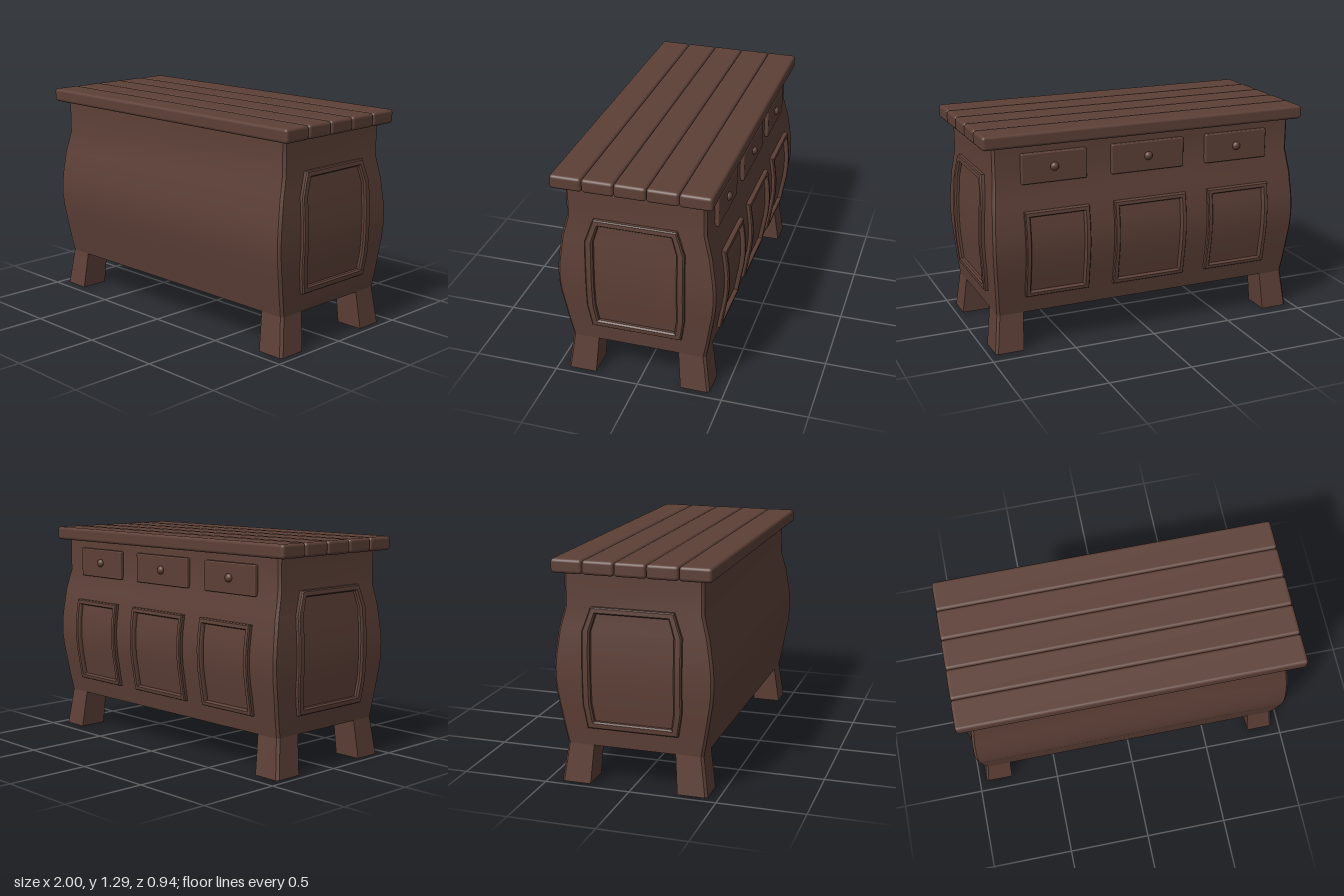
import * as THREE from 'three';
import { toCreasedNormals } from 'three/addons/utils/BufferGeometryUtils.js';
import { RoundedBoxGeometry } from 'three/addons/geometries/RoundedBoxGeometry.js';

// Height and outward swelling of the cabinet walls
const PROFILE = [[0.225, 0], [0.34, 0.022], [0.454, 0.041], [0.53, 0.054], [0.607, 0.061], [0.675, 0.061],
  [0.744, 0.055], [0.887, 0.034], [1.017, 0], [1.215, 0]];
const HALF_X = 0.932, HALF_Z = 0.397, MID_Z = 0.011, SIDE_SWELL = 0.45;

function swell(y) {
  for (let i = 1; i < PROFILE.length; i++) {
    const [y0, s0] = PROFILE[i - 1], [y1, s1] = PROFILE[i];
    if (y <= y1) return s0 + (s1 - s0) * Math.max(0, (y - y0) / (y1 - y0));
  }
  return 0;
}

// Skin a stack of equal-length rings, with optional end caps
function loft(rings, caps = false) {
  const n = rings[0].length, index = [];
  rings.slice(1).forEach((_, r) => {
    for (let i = 0; i < n; i++) {
      const j = (i + 1) % n, a = r * n + i, b = r * n + j;
      index.push(a, b, b + n, a, b + n, a + n);
    }
  });
  if (caps) {
    const top = (rings.length - 1) * n;
    for (let i = 1; i < n - 1; i++) index.push(0, i + 1, i, top, top + i, top + i + 1);
  }
  const g = new THREE.BufferGeometry();
  g.setAttribute('position', new THREE.Float32BufferAttribute(rings.flat(2), 3));
  g.setIndex(index);
  return toCreasedNormals(g, 0.5);
}

// Raised border: rows are [half width, y] from bottom to top; place(u, y, h) puts points on a wall
function frameGeometry(outer, inner, place) {
  const between = (t) => outer.map(([w, y], i) => [w + (inner[i][0] - w) * t, y + (inner[i][1] - y) * t]);
  const ring = (t, h) => {
    const rows = between(t);
    return [...rows.map(([w, y]) => place(w, y, h)), ...rows.reverse().map(([w, y]) => place(-w, y, h))];
  };
  return loft([ring(0, -0.01), ring(0, 0.018), ring(0.15, 0.025), ring(0.75, 0.025), ring(0.95, 0.015), ring(1, -0.01)]);
}

export function createModel() {
  const model = new THREE.Group();
  const wood = new THREE.MeshStandardMaterial({ color: 0x5d4037, side: THREE.DoubleSide });
  wood.name = 'brown wood';
  const add = (name, geometry, x = 0, y = 0, z = 0) => {
    const mesh = new THREE.Mesh(geometry, wood);
    mesh.name = name;
    mesh.position.set(x, y, z);
    model.add(mesh);
    return mesh;
  };

  // Swollen cabinet with softened vertical corners
  const c = 0.014;
  add('cabinet', loft(PROFILE.map(([y, s]) => {
    const x = HALF_X + s * SIDE_SWELL, z = HALF_Z + s;
    return [[x, z - c], [x, c - z], [x - c, -z], [c - x, -z], [-x, c - z], [-x, z - c], [c - x, z], [x - c, z]]
      .map(([px, pz]) => [px, y, pz + MID_Z]);
  }), true));

  // Flared legs, open underneath
  for (const sx of [-1, 1]) for (const sz of [-1, 1]) {
    const ring = (y, xo, xi, zo, zi) => {
      const p = [[xo, zo - c], [xo, zi], [xi, zi], [xi, zo], [xo - c, zo]]
        .map(([x, z]) => [x * sx, y, z * sz + MID_Z]);
      return sx * sz > 0 ? p : p.reverse();
    };
    add('leg', loft([ring(0, 0.958, 0.79, 0.428, 0.256), ring(0.226, HALF_X, 0.777, HALF_Z, 0.239)]));
  }

  // Plank top
  const plank = new RoundedBoxGeometry(2, 0.08, 0.181, 3, 0.018);
  for (let i = 0; i < 5; i++) add('topPlank', plank, 0, 1.25, 0.379 - i * 0.181);

  // Shaped panel borders on both ends
  const outerEnd = [[0.262, 0.335], [0.285, 0.475], [0.285, 0.607], [0.285, 0.744], [0.285, 0.89], [0.237, 1.025]];
  const innerEnd = [[0.222, 0.377], [0.237, 0.475], [0.237, 0.607], [0.237, 0.744], [0.237, 0.89], [0.207, 0.987]];
  for (const s of [-1, 1]) {
    add('endPanelFrame', frameGeometry(outerEnd, innerEnd,
      (u, y, h) => [s * (HALF_X + swell(y) * SIDE_SWELL + h), y, MID_Z - s * u]));
  }

  // Back: three columns, each with a drawer, a knob and a panel border
  const knob = new THREE.SphereGeometry(0.025, 20, 14);
  for (const [left, right] of [[-0.77, -0.367], [-0.222, 0.232], [0.385, 0.773]]) {
    const x = (left + right) / 2, w = (right - left) / 2;
    add('drawerFront', new RoundedBoxGeometry(2 * w, 0.175, 0.04, 3, 0.008), x, 1.078, -0.391);
    add('drawerKnob', knob, x, 1.08, -0.411).scale.z = 0.85;
    const outer = [0.33, 0.454, 0.53, 0.607, 0.675, 0.744, 0.84].map((y) => [w, y]);
    const inner = [0.362, 0.454, 0.53, 0.607, 0.675, 0.744, 0.808].map((y) => [w - 0.033, y]);
    add('backPanelFrame', frameGeometry(outer, inner,
      (u, y, h) => [x - u, y, MID_Z - HALF_Z - swell(y) - h]));
  }
  return model;
}
